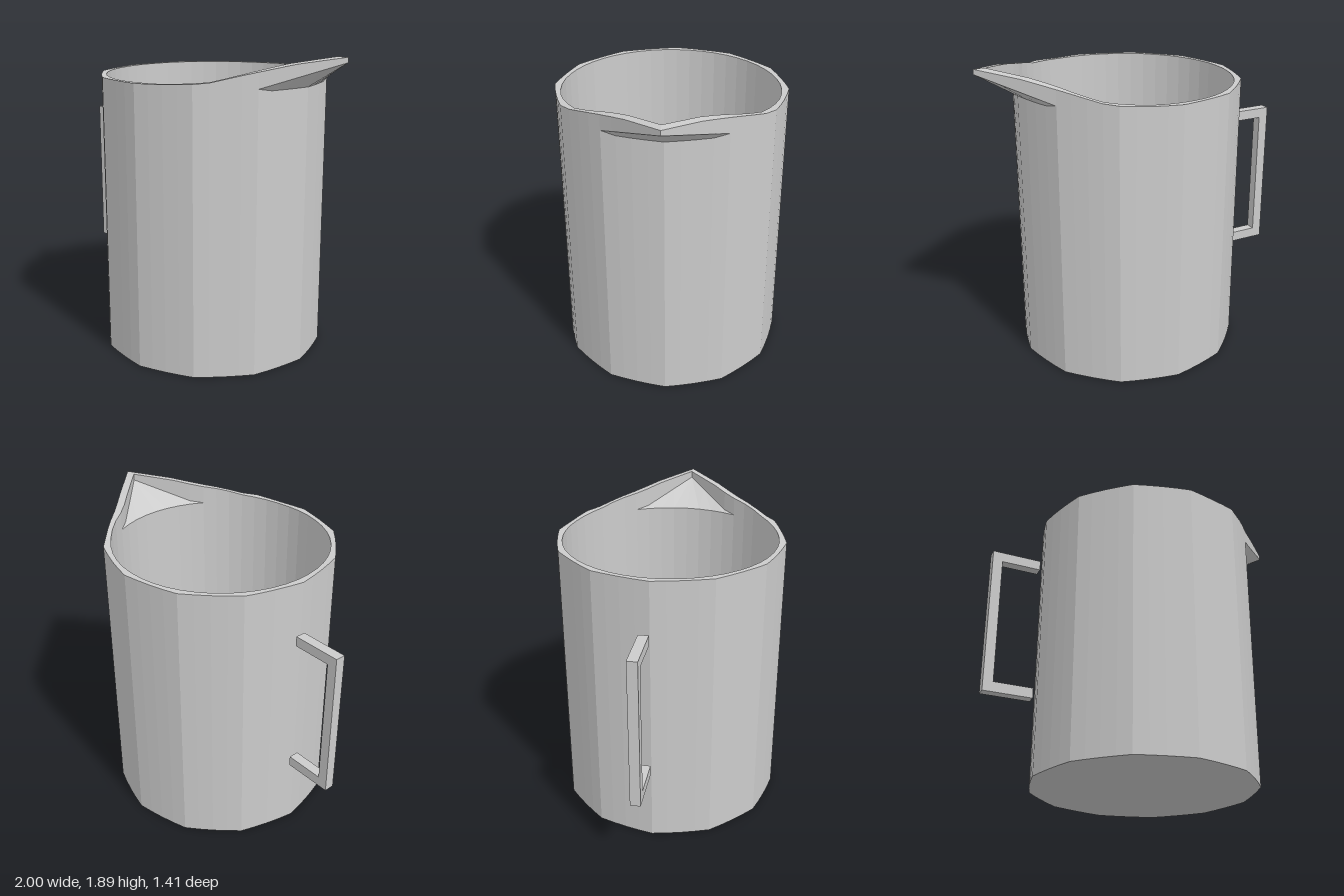
import * as THREE from 'three';

const SEGMENTS = 48, CENTRE_X = 0.04, RADIUS = 0.705, INNER = 0.66;
const material = new THREE.MeshStandardMaterial({ color: 0xcccccc, flatShading: true });

// Twelve soft corners joined by slightly bulging sides
function bodyRadius(a) {
  const step = Math.PI / 6;
  const offset = a - (Math.floor(a / step + 1e-6) + 0.5) * step;
  const chord = RADIUS * Math.cos(step / 2) / Math.cos(offset);
  return THREE.MathUtils.lerp(chord, RADIUS, 0.35);
}

// Rim height rises along x towards the spout tip
const rimCurve = [[-0.2, 1.735], [0.2, 1.74], [0.45, 1.755], [0.6, 1.8], [0.8, 1.855], [1, 1.89]];
function rimHeight(x) {
  if (x <= rimCurve[0][0]) return rimCurve[0][1];
  for (let i = 1; i < rimCurve.length; i++) {
    const [x0, y0] = rimCurve[i - 1], [x1, y1] = rimCurve[i];
    if (x <= x1) return y0 + (y1 - y0) * (x - x0) / (x1 - x0);
  }
  return 1.89;
}

// Wall section at one angle: base, outside, over the rim, inside, floor
function section(a) {
  const c = Math.cos(a), s = Math.abs(Math.sin(a));
  const body = bodyRadius(a);
  const spout = c > Math.cos(Math.PI / 6) - 1e-6;
  const outer = spout ? Math.max(body, 0.96 / (c + s)) : body;
  const inner = spout ? Math.max(INNER, 0.89 / (c + s)) : INNER;
  const outerX = CENTRE_X + outer * c, innerX = CENTRE_X + inner * c;
  const top = rimHeight(outerX);
  // Lower edges of the spout's upright sides, outside and inside
  const outerLip = 1.72 + 0.14 * Math.max(0, outerX - 0.65) / 0.35;
  const innerLip = 1.71 + 0.14 * Math.max(0, innerX - 0.66) / 0.27;
  return [
    [0, 0], [body, 0], [body, 1.705], [outer, outerLip], [outer, top],
    [inner, top], [inner, innerLip], [INNER, 1.7], [INNER, 0.01], [0, 0.01],
  ].map(([r, y]) => new THREE.Vector3(CENTRE_X + r * Math.cos(a), y, r * Math.sin(a)));
}

function jugGeometry() {
  const sections = [];
  for (let i = 0; i < SEGMENTS; i++) sections.push(section(i * 2 * Math.PI / SEGMENTS));
  const points = [];
  for (let i = 0; i < SEGMENTS; i++) {
    const p = sections[i], q = sections[(i + 1) % SEGMENTS], last = p.length - 2;
    // Mirror the diagonals so both halves of the spout match
    const flip = i >= SEGMENTS / 2;
    points.push(p[0], p[1], q[1], p[last], p[last + 1], q[last]);
    for (let j = 1; j < last; j++) {
      if (flip) points.push(p[j], p[j + 1], q[j], p[j + 1], q[j + 1], q[j]);
      else points.push(p[j], p[j + 1], q[j + 1], p[j], q[j + 1], q[j]);
    }
  }
  const geometry = new THREE.BufferGeometry().setFromPoints(points);
  geometry.computeVertexNormals();
  return geometry;
}

// Square C-shaped handle
function handleGeometry() {
  const outline = [
    [-1, 0.475], [-0.69, 0.475], [-0.69, 0.54], [-0.937, 0.54],
    [-0.937, 1.357], [-0.69, 1.357], [-0.69, 1.42], [-1, 1.42],
  ].map(([x, y]) => new THREE.Vector2(x, y));
  const geometry = new THREE.ExtrudeGeometry(new THREE.Shape(outline), { depth: 0.063, bevelEnabled: false });
  return geometry.translate(0, 0, -0.063);
}

export function createModel() {
  const group = new THREE.Group();
  group.name = 'jug';
  const body = new THREE.Mesh(jugGeometry(), material);
  body.name = 'bodyWithSpout';
  const handle = new THREE.Mesh(handleGeometry(), material);
  handle.name = 'handle';
  group.add(body, handle);
  return group;
}
